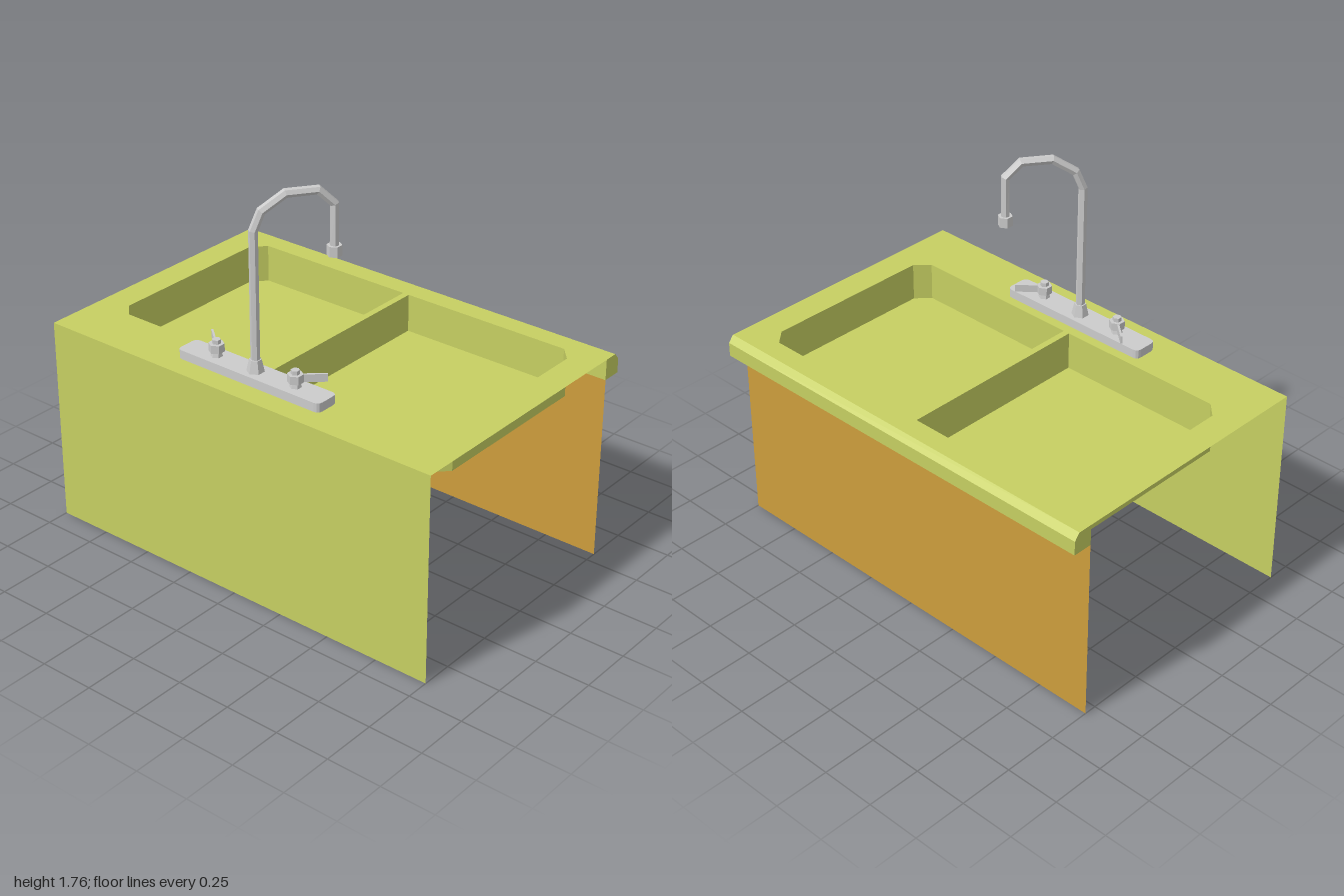
import * as THREE from 'three';

const TOP = 0.945, FLOOR = 0.77, DEPTH = 0.645;
const enamel = new THREE.MeshStandardMaterial({ color: 0xc6cf62, flatShading: true, side: THREE.DoubleSide });
const wood = new THREE.MeshStandardMaterial({ color: 0xcd9d3c, flatShading: true, side: THREE.DoubleSide });
const metal = new THREE.MeshStandardMaterial({ color: 0xcccccc, flatShading: true });

// Curve through straight segments, with mitred tangents at the bends
class BentPath extends THREE.Curve {
  constructor(points) { super(); this.points = points; }
  getPoint(t) {
    const n = this.points.length - 1, i = Math.min(Math.floor(t * n + 1e-6), n - 1);
    return this.points[i].clone().lerp(this.points[i + 1], t * n - i);
  }
  getPointAt(u) { return this.getPoint(u); }
  getTangentAt(u) {
    const p = this.points, i = Math.round(u * (p.length - 1)), dir = new THREE.Vector3();
    if (i > 0) dir.add(p[i].clone().sub(p[i - 1]).normalize());
    if (i < p.length - 1) dir.add(p[i + 1].clone().sub(p[i]).normalize());
    return dir.normalize();
  }
}

function add(parent, name, geometry, material, x = 0, y = 0, z = 0) {
  const mesh = new THREE.Mesh(geometry, material);
  mesh.name = name;
  mesh.position.set(x, y, z);
  parent.add(mesh);
  return mesh;
}

// Flat horizontal sheet from [x, z] corners
const toShape = pts => new THREE.Shape(pts.map(([x, z]) => new THREE.Vector2(x, -z)));
const sheet = shape => new THREE.ShapeGeometry(shape).rotateX(-Math.PI / 2);

// Vertical walls around a closed [x, z] outline
function walls(outline) {
  const pos = [], index = [];
  outline.forEach(([x, z], i) => {
    const [x2, z2] = outline[(i + 1) % outline.length];
    pos.push(x, TOP, z, x2, TOP, z2, x2, FLOOR, z2, x, FLOOR, z);
    const k = i * 4;
    index.push(k, k + 1, k + 2, k, k + 2, k + 3);
  });
  const g = new THREE.BufferGeometry();
  g.setAttribute('position', new THREE.Float32BufferAttribute(pos, 3));
  g.setIndex(index);
  g.computeVertexNormals();
  return g;
}

// Basin outline with its two outer corners cut off
const basinOutline = (inner, side) => [
  [inner, -0.525], [side * 0.81, -0.525], [side * 0.868, -0.46],
  [side * 0.868, 0.325], [side * 0.81, 0.385], [inner, 0.385]];

function createCabinet() {
  const cabinet = new THREE.Group();
  cabinet.name = 'cabinet';
  const counter = toShape([[-1, DEPTH], [1, DEPTH], [1, -0.62], [-1, -0.62]]);
  for (const [name, inner, side] of [['leftBasin', 0, 1], ['rightBasin', -0.03, -1]]) {
    const outline = basinOutline(inner, side);
    counter.holes.push(toShape(outline));
    const basin = new THREE.Group();
    basin.name = name;
    add(basin, 'basinWalls', walls(outline), enamel);
    add(basin, 'basinFloor', sheet(toShape(outline)), enamel, 0, FLOOR, 0);
    cabinet.add(basin);
  }
  add(cabinet, 'countertop', sheet(counter), enamel, 0, TOP, 0);
  // Web under the faucet, in line with the basin divider
  add(cabinet, 'dividerWeb', new THREE.PlaneGeometry(0.1, TOP - FLOOR).rotateY(Math.PI / 2),
    enamel, -0.03, (TOP + FLOOR) / 2, 0.435);
  add(cabinet, 'frontPanel', new THREE.PlaneGeometry(2, TOP), enamel, 0, TOP / 2, DEPTH);
  add(cabinet, 'backPanel', new THREE.PlaneGeometry(2, 0.85), wood, 0, 0.425, -0.556);

  // Bevelled lip overhanging the back panel
  const lip = new THREE.Shape([[0.555, 0.85], [DEPTH, 0.85], [DEPTH, 0.915], [0.62, TOP], [0.555, TOP]]
    .map(([z, y]) => new THREE.Vector2(z, y)));
  const lipGeometry = new THREE.ExtrudeGeometry(lip, { depth: 2, bevelEnabled: false });
  lipGeometry.translate(0, 0, -1).rotateY(Math.PI / 2);
  add(cabinet, 'backLip', lipGeometry, enamel);
  return cabinet;
}

function createFaucet() {
  const faucet = new THREE.Group();
  faucet.name = 'faucet';
  faucet.position.set(0, TOP, 0.487);

  // Base plate with rounded corners
  const w = 0.376, d = 0.058, r = 0.025;
  const plate = new THREE.Shape();
  plate.moveTo(-w + r, -d);
  plate.lineTo(w - r, -d);
  plate.quadraticCurveTo(w, -d, w, -d + r);
  plate.lineTo(w, d - r);
  plate.quadraticCurveTo(w, d, w - r, d);
  plate.lineTo(-w + r, d);
  plate.quadraticCurveTo(-w, d, -w, d - r);
  plate.lineTo(-w, -d + r);
  plate.quadraticCurveTo(-w, -d, -w + r, -d);
  const plateGeometry = new THREE.ExtrudeGeometry(plate, { depth: 0.04, bevelEnabled: false, curveSegments: 3 });
  add(faucet, 'basePlate', plateGeometry.rotateX(-Math.PI / 2), metal);

  // Gooseneck, turned towards the left basin: [share of reach, height]
  const reach = new THREE.Vector3(0.19, 0, -0.268);
  const path = [[0, 0.04], [0, 0.655], [0.1, 0.735], [0.4, 0.8], [0.8, 0.8], [1, 0.735], [1, 0.55]]
    .map(([t, y]) => reach.clone().multiplyScalar(t).setY(y));
  add(faucet, 'spout', new THREE.TubeGeometry(new BentPath(path), path.length - 1, 0.02, 6), metal);
  add(faucet, 'spoutCollar', new THREE.CylinderGeometry(0.026, 0.038, 0.055, 6), metal, 0, 0.067, 0);
  add(faucet, 'spoutNozzle', new THREE.CylinderGeometry(0.032, 0.032, 0.045, 6), metal, reach.x, 0.535, reach.z);

  // Hot and cold handles with flat levers
  for (const side of [1, -1]) {
    const handle = new THREE.Group();
    handle.name = side > 0 ? 'leftHandle' : 'rightHandle';
    handle.position.set(side * 0.21, 0, 0);
    add(handle, 'handleStem', new THREE.CylinderGeometry(0.02, 0.027, 0.03, 6), metal, 0, 0.05, 0);
    add(handle, 'handleHub', new THREE.CylinderGeometry(0.034, 0.034, 0.036, 6), metal, 0, 0.08, 0);
    add(handle, 'handleCap', new THREE.CylinderGeometry(0.019, 0.019, 0.02, 6), metal, 0, 0.106, 0);
    const lever = add(handle, 'handleLever', new THREE.BoxGeometry(0.125, 0.034, 0.009), metal,
      side * 0.051, 0.08, -0.043);
    lever.rotation.y = side * Math.atan2(0.085, 0.1);
    faucet.add(handle);
  }
  return faucet;
}

export function createModel() {
  const model = new THREE.Group();
  model.name = 'kitchenSink';
  model.add(createCabinet(), createFaucet());
  return model;
}
